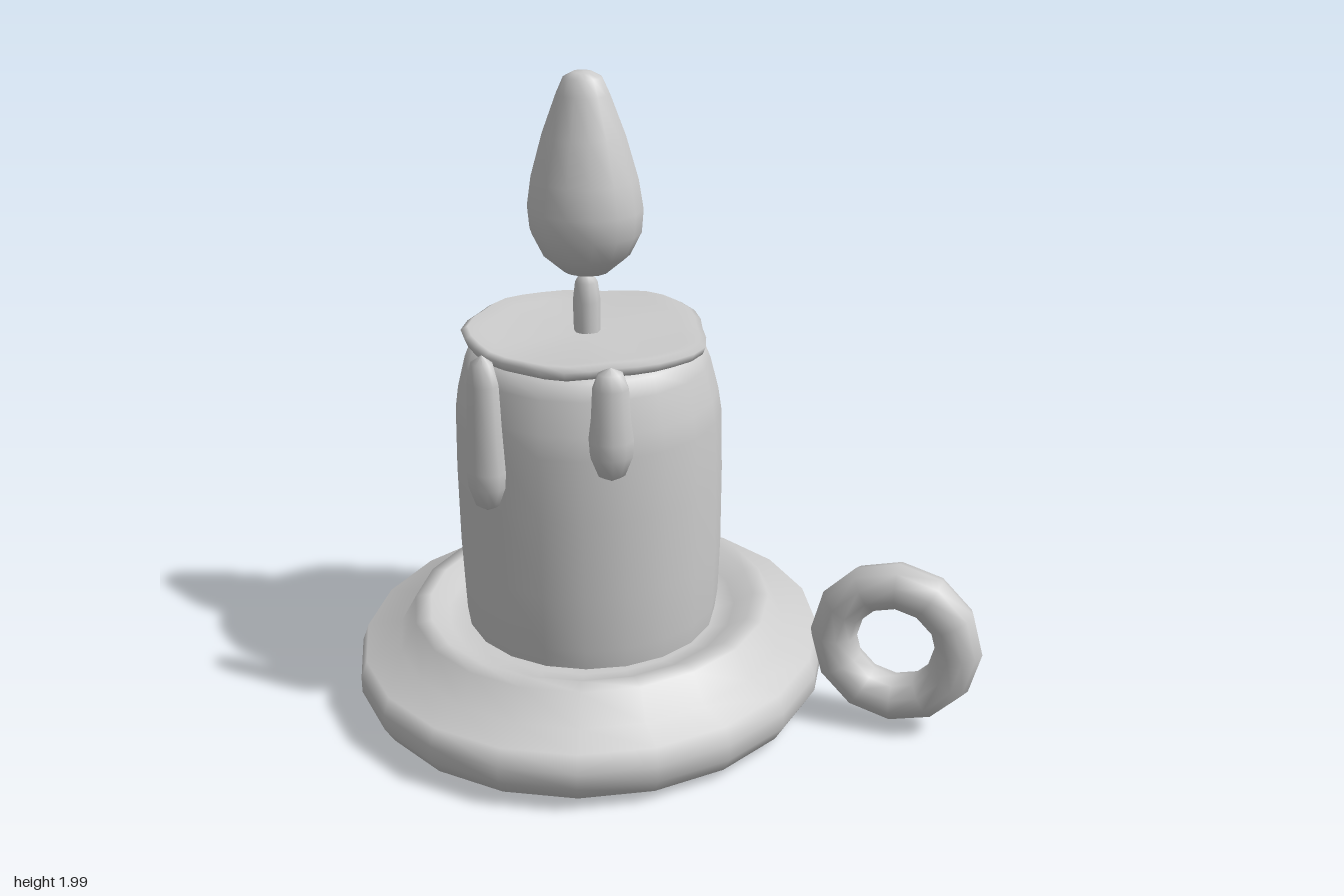
import * as THREE from 'three';
import { mergeVertices } from 'three/addons/utils/BufferGeometryUtils.js';

const CX = -0.265; // candle axis

export function createModel() {
  const model = new THREE.Group();
  model.name = 'candleInHolder';
  const clay = new THREE.MeshStandardMaterial({ color: 0xcccccc });
  clay.name = 'pale grey clay';

  const add = (name, geometry, x, y, z) => {
    const mesh = new THREE.Mesh(geometry, clay);
    mesh.name = name;
    mesh.position.set(x, y, z);
    model.add(mesh);
    return mesh;
  };
  const lathe = (profile, sides) =>
    new THREE.LatheGeometry(profile.map(([r, y]) => new THREE.Vector2(r, y)), sides);

  // Saucer: rounded outer lip, raised shoulder and shallow well
  const saucer = add('saucer', lathe([
    [0.66, 0.005], [0.72, 0.04], [0.75, 0.09], [0.75, 0.14], [0.73, 0.195],
    [0.62, 0.21], [0.57, 0.3], [0.52, 0.305], [0.46, 0.27], [0.4, 0.255], [0, 0.25],
  ], 20), -0.26, 0, 0);
  saucer.scale.set(0.99, 1, 1.04);
  const underside = add('saucerUnderside', new THREE.CircleGeometry(0.66, 20), -0.26, 0.005, 0);
  underside.rotation.set(Math.PI / 2, 0, Math.PI / 2);
  underside.scale.set(1.04, 0.99, 1);

  // Ring handle
  add('handle', new THREE.TorusGeometry(0.194, 0.073, 10, 12), 0.727, 0.3, -0.018);

  // Wax body with a softened shoulder
  add('candle', lathe([
    [0.395, 0.25], [0.405, 0.32], [0.412, 0.5], [0.414, 0.75], [0.41, 0.95],
    [0.4, 1.02], [0.375, 1.12], [0.355, 1.17], [0.3, 1.19], [0, 1.19],
  ], 20), CX, 0, -0.01);

  // Melted top: thin disc with an uneven edge
  const melt = lathe([
    [0, 1.17], [0.33, 1.17], [0.36, 1.185], [0.37, 1.21], [0.35, 1.222], [0.3, 1.21], [0, 1.205],
  ], 32);
  melt.deleteAttribute('uv');
  melt.deleteAttribute('normal');
  const p = melt.attributes.position;
  for (let i = 0; i < p.count; i++) {
    const x = p.getX(i), z = p.getZ(i), r = Math.hypot(x, z);
    if (r < 0.2) continue;
    const a = Math.atan2(x, z);
    const k = 0.99 + 0.025 * Math.sin(5 * a + 0.6) + 0.015 * Math.sin(9 * a);
    p.setXYZ(i, x * k, p.getY(i) + 0.008 * Math.sin(3 * a) - 0.012 * x, z * k);
  }
  const meltedTop = mergeVertices(melt, 1e-4);
  meltedTop.computeVertexNormals();
  add('meltedTop', meltedTop, CX, 0, -0.005);

  // Wax drips: slim at the top, fuller at the lower end
  for (const [x, z, bottom, r, turn] of [[-0.433, 0.395, 0.76, 0.064, -0.25], [-0.05, 0.37, 0.9, 0.067, 0.45]]) {
    const h = 1.25 - bottom;
    const drip = add('waxDrip', lathe([
      [0, 0], [0.6 * r, 0.02], [0.95 * r, 0.08], [r, 0.13], [0.88 * r, 0.55 * h],
      [0.8 * r, 0.82 * h], [0.55 * r, 0.95 * h], [0, h],
    ], 10), x, bottom, z);
    drip.rotation.y = turn;
    drip.scale.z = 0.8;
  }

  // Wick and teardrop flame
  add('wick', lathe([[0.04, 1.18], [0.042, 1.3], [0.034, 1.36], [0.02, 1.385], [0, 1.39]], 10), CX, 0, -0.012);
  const flame = add('flame', lathe([
    [0, 1.378], [0.07, 1.395], [0.135, 1.45], [0.17, 1.52], [0.176, 1.59],
    [0.162, 1.68], [0.125, 1.81], [0.08, 1.93], [0.058, 1.978], [0.03, 1.993], [0, 1.995],
  ], 14), CX, 0, -0.012);
  flame.scale.z = 0.87;

  return model;
}
